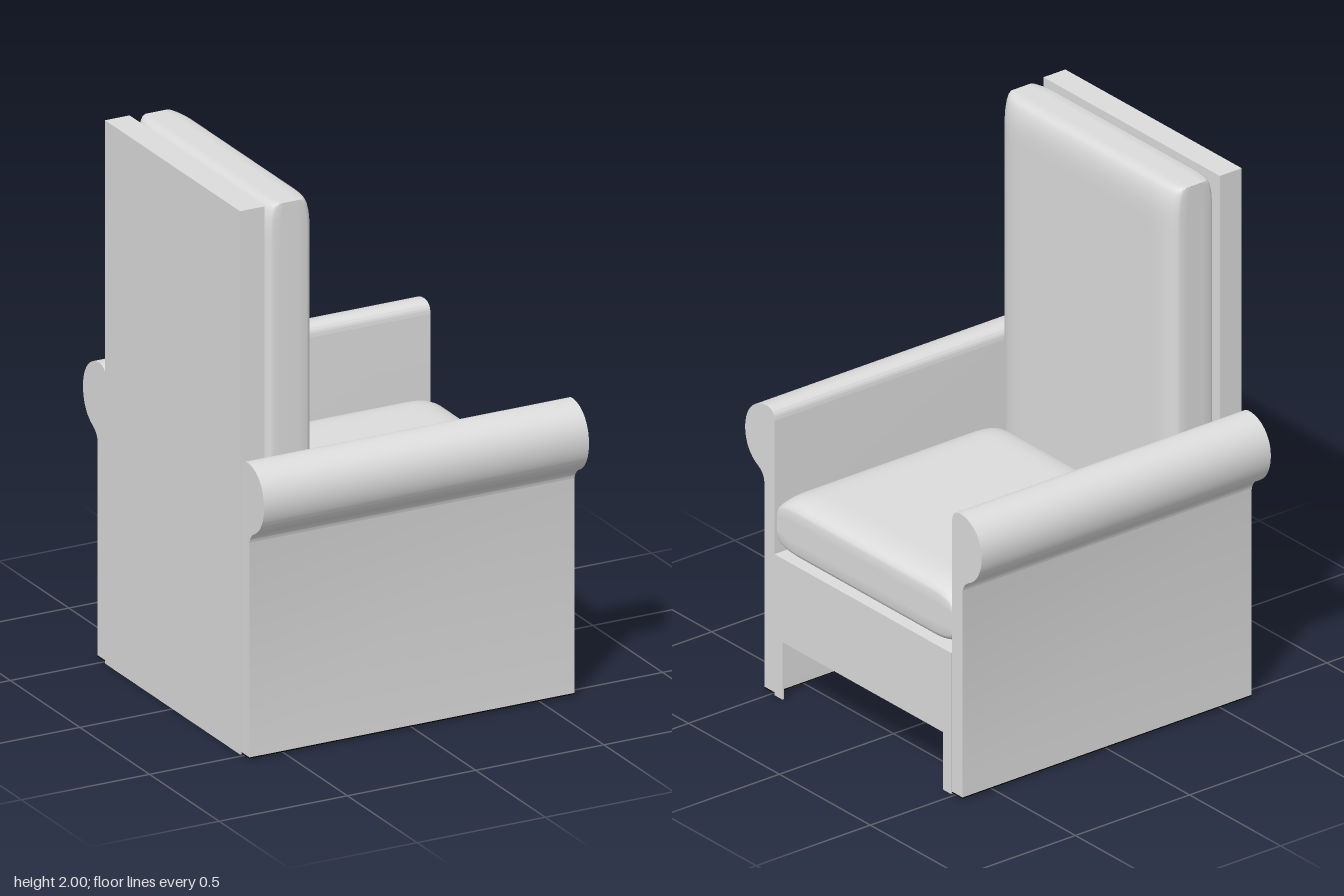
import * as THREE from 'three';
import { toCreasedNormals } from 'three/addons/utils/BufferGeometryUtils.js';

const upholstery = new THREE.MeshStandardMaterial({ color: 0xdcdcdc });
upholstery.name = 'light grey upholstery';
const soleBlack = new THREE.MeshStandardMaterial({ color: 0x000000 });
soleBlack.name = 'black sole';

export function createModel() {
  const model = new THREE.Group();
  model.name = 'armchair';

  const add = (name, geometry, x = 0, y = 0, z = 0, material = upholstery) => {
    const mesh = new THREE.Mesh(geometry, material);
    mesh.name = name;
    mesh.position.set(x, y, z);
    model.add(mesh);
  };

  // Box given by its lower and upper corners
  const addBox = (name, [x0, y0, z0], [x1, y1, z1], material) =>
    add(name, new THREE.BoxGeometry(x1 - x0, y1 - y0, z1 - z0),
      (x0 + x1) / 2, (y0 + y1) / 2, (z0 + z1) / 2, material);

  // Extrudes a (z, y) profile along x from x0 to x1; side -1 mirrors it in z
  const alongX = (shape, x0, x1, side = 1) => {
    const g = new THREE.ExtrudeGeometry(shape, { depth: x1 - x0, bevelEnabled: false, curveSegments: 16 });
    g.translate(0, 0, (x0 - x1) / 2);
    g.rotateY((-side * Math.PI) / 2);
    g.translate((x0 + x1) / 2, 0, 0);
    return toCreasedNormals(g, 0.6);
  };

  // Thin upright panels with a cut-out between two short legs
  const panel = new THREE.Shape([
    [-0.485, 0], [-0.442, 0], [-0.442, 0.22], [0.442, 0.22],
    [0.442, 0], [0.485, 0], [0.485, 0.54], [-0.485, 0.54],
  ].map(([z, y]) => new THREE.Vector2(z, y)));
  add('frontRail', alongX(panel, 0.627, 0.635));
  add('rearRail', alongX(panel, -0.639, -0.631));

  // Thin skirt closing the rear cut-out, seen only from behind
  const skirt = new THREE.PlaneGeometry(0.884, 0.22);
  skirt.rotateY(-Math.PI / 2);
  add('rearSkirt', skirt, -0.639, 0.11, 0);

  // Outer side faces of the four legs
  for (const side of [1, -1]) {
    for (const [name, x] of [['frontLegSide', 0.582], ['rearLegSide', -0.588]]) {
      const face = new THREE.PlaneGeometry(0.1, 0.52);
      if (side < 0) face.rotateY(Math.PI);
      add(name, face, x, 0.26, side * 0.485);
    }
  }

  // Board under the cushions and the tall backrest
  addBox('seatBoard', [-0.631, 0.52, -0.485], [0.627, 0.54, 0.485]);
  addBox('backrestFrame', [-0.639, 0.54, -0.485], [-0.543, 2, 0.485]);

  // Arm side panel with an outward roll on top
  const arm = new THREE.Shape();
  arm.moveTo(0.488, 0.009);
  arm.lineTo(0.545, 0.009);
  arm.lineTo(0.545, 0.795);
  arm.quadraticCurveTo(0.548, 0.825, 0.58, 0.843);
  arm.bezierCurveTo(0.625, 0.865, 0.65, 0.91, 0.65, 0.965);
  arm.bezierCurveTo(0.65, 1.035, 0.6, 1.09, 0.53, 1.09);
  arm.quadraticCurveTo(0.488, 1.088, 0.488, 1.045);
  arm.closePath();
  add('leftArm', alongX(arm, -0.635, 0.632, 1));
  add('rightArm', alongX(arm, -0.635, 0.632, -1));

  // Thin black soles under the arms
  addBox('leftArmSole', [-0.635, 0.005, 0.488], [0.632, 0.009, 0.545], soleBlack);
  addBox('rightArmSole', [-0.635, 0.005, -0.545], [0.632, 0.009, -0.488], soleBlack);

  // Soft cushion lying flat: square in plan, thinning in a rounded curve towards each edge
  const cushion = (width, thickness, depth) => {
    const g = new THREE.BoxGeometry(2, thickness, 2, 24, 4, 24);
    const p = g.attributes.position;
    const radius = 0.11;
    const spread = (t, half) => half * Math.sin((t * Math.PI) / 2);
    const thin = (a, half) => {
      const s = Math.min(1, Math.max(0, (Math.abs(a) - half + radius) / radius));
      return 1 - 0.36 * (1 - Math.sqrt(1 - s * s));
    };
    for (let i = 0; i < p.count; i++) {
      const x = spread(p.getX(i), width / 2);
      const z = spread(p.getZ(i), depth / 2);
      p.setXYZ(i, x, p.getY(i) * thin(x, width / 2) * thin(z, depth / 2), z);
    }
    return toCreasedNormals(g, 0.8);
  };
  add('seatCushion', cushion(0.96, 0.23, 0.96), 0.147, 0.656, 0);
  const back = cushion(1.455, 0.205, 0.96);
  back.rotateZ(Math.PI / 2);
  add('backCushion', back, -0.441, 1.269, 0);

  return model;
}
